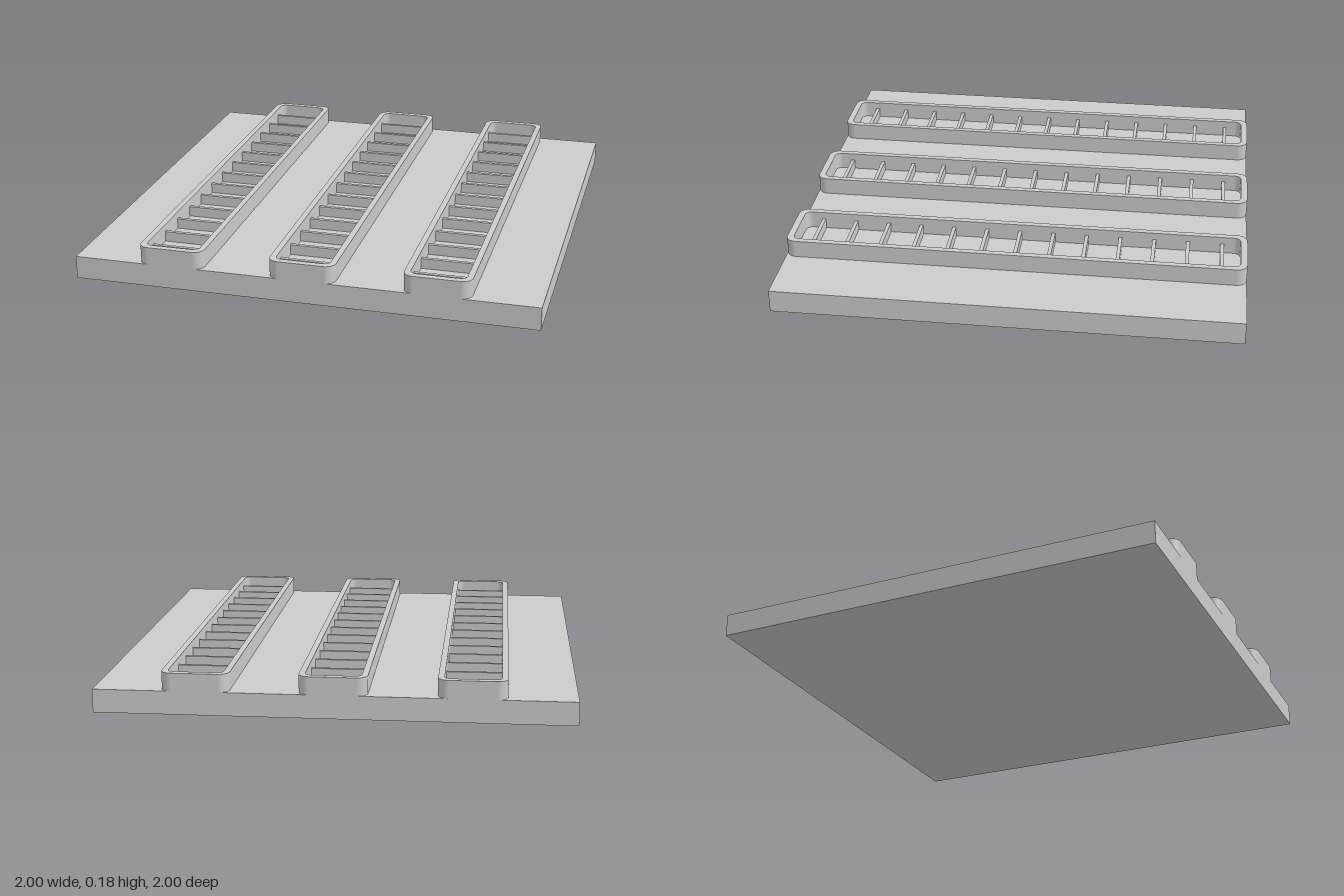
import * as THREE from 'three';

const mat = new THREE.MeshStandardMaterial({ color: 0xcccccc });
const SLAB_TOP = 0.1, RIM_TOP = 0.177, SLAT_TOP = 0.145;
const PITCH = 4 / 7, HALF_W = 1 / 7, WALL = 0.026;

// Traces a rounded rectangle centred on the origin
function roundedRect(path, hw, hl, r) {
  path.moveTo(hw, -hl + r);
  path.lineTo(hw, hl - r);
  path.absarc(hw - r, hl - r, r, 0, Math.PI / 2);
  path.lineTo(-hw + r, hl);
  path.absarc(-hw + r, hl - r, r, Math.PI / 2, Math.PI);
  path.lineTo(-hw, -hl + r);
  path.absarc(-hw + r, -hl + r, r, Math.PI, Math.PI * 1.5);
  path.lineTo(hw - r, -hl);
  path.absarc(hw - r, -hl + r, r, Math.PI * 1.5, Math.PI * 2);
  return path;
}

function box(name, w, h, d, x, y, z) {
  const mesh = new THREE.Mesh(new THREE.BoxGeometry(w, h, d), mat);
  mesh.name = name;
  mesh.position.set(x, y, z);
  return mesh;
}

// Long open channel: a rounded rim with evenly spaced cross slats
function channel() {
  const group = new THREE.Group();
  group.name = 'channel';

  const outline = roundedRect(new THREE.Shape(), HALF_W, 1, 0.045);
  outline.holes.push(roundedRect(new THREE.Path(), HALF_W - WALL, 1 - WALL - 0.003, 0.028));
  const geo = new THREE.ExtrudeGeometry(outline, {
    depth: RIM_TOP - SLAB_TOP, bevelEnabled: false, curveSegments: 8,
  });
  geo.rotateX(-Math.PI / 2);
  const rim = new THREE.Mesh(geo, mat);
  rim.name = 'rim';
  rim.position.y = SLAB_TOP;
  group.add(rim);

  const h = SLAT_TOP - SLAB_TOP;
  for (let i = -6; i <= 6; i++) {
    group.add(box('slat', 2 * (HALF_W - WALL), h, 0.016, 0, SLAB_TOP + h / 2, i * 0.1485));
  }
  return group;
}

export function createModel() {
  const model = new THREE.Group();
  model.name = 'ribbedPanel';
  model.add(box('basePlate', 2, SLAB_TOP, 2, 0, SLAB_TOP / 2, 0));
  for (const i of [-1, 0, 1]) {
    const c = channel();
    c.position.x = i * PITCH;
    model.add(c);
  }
  return model;
}
